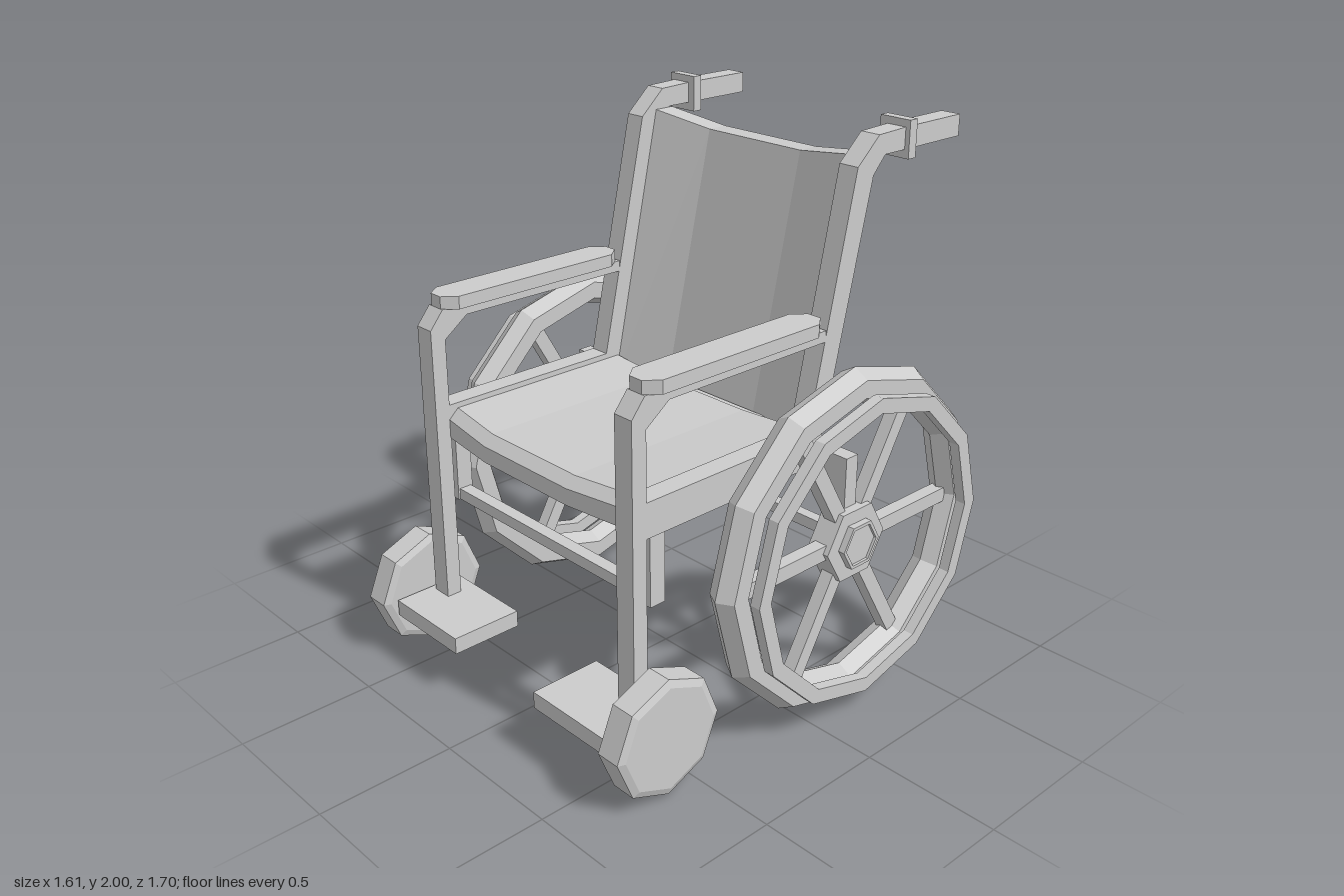
import * as THREE from 'three';

const mat = new THREE.MeshStandardMaterial({ color: 0xcccccc, flatShading: true });

function add(parent, name, geo) {
  const m = new THREE.Mesh(geo, mat);
  m.name = name;
  parent.add(m);
  return m;
}

// Box given by its limits on each axis
function box(parent, name, [x0, x1], [y0, y1], [z0, z1]) {
  const m = add(parent, name, new THREE.BoxGeometry(Math.abs(x1 - x0), y1 - y0, z1 - z0));
  m.position.set((x0 + x1) / 2, (y0 + y1) / 2, (z0 + z1) / 2);
  return m;
}

const shapeOf = (pts) => new THREE.Shape(pts.map(([u, v]) => new THREE.Vector2(u, v)));

// Outline in (z, y), given a width along x and centred on x
function sidePlate(parent, name, pts, x, width) {
  const geo = new THREE.ExtrudeGeometry(shapeOf(pts), { depth: width, bevelEnabled: false });
  geo.rotateY(-Math.PI / 2).translate(x + width / 2, 0, 0);
  return add(parent, name, geo);
}

const lathe = (pts, sides) =>
  new THREE.LatheGeometry(pts.map(([r, y]) => new THREE.Vector2(r, y)), sides);

// Solid skinned over (z, y) sections placed at increasing x
function loft(parent, name, xs, sectionAt) {
  const pos = [], idx = [];
  const rings = xs.map((x, i) => sectionAt(i).map(([z, y]) => [x, y, z]));
  const n = rings[0].length, last = (rings.length - 1) * n;
  rings.forEach((r) => r.forEach((p) => pos.push(...p)));
  for (let i = 0; i < rings.length - 1; i++) {
    for (let j = 0; j < n; j++) {
      const a = i * n + j, b = i * n + (j + 1) % n;
      idx.push(a, b, a + n, b, b + n, a + n);
    }
  }
  for (let j = 1; j < n - 1; j++) {
    idx.push(0, j + 1, j, last, last + j, last + j + 1);
  }
  const geo = new THREE.BufferGeometry();
  geo.setAttribute('position', new THREE.Float32BufferAttribute(pos, 3));
  geo.setIndex(idx);
  geo.computeVertexNormals();
  return add(parent, name, geo);
}

// Drive wheel: local y is the axle, pointing outward
function driveWheel() {
  const g = new THREE.Group();
  const tyre = [];
  for (let i = 0; i <= 6; i++) {
    const a = (i * Math.PI) / 3;
    tyre.push([0.566 + 0.064 * Math.cos(a), 0.064 * Math.sin(a)]);
  }
  add(g, 'tyre', lathe(tyre, 12));
  add(g, 'handRim', lathe([[0.557, 0.085], [0.557, 0.125], [0.503, 0.125], [0.503, 0.085], [0.557, 0.085]], 12));
  add(g, 'hub', new THREE.CylinderGeometry(0.145, 0.145, 0.09, 6));
  add(g, 'hubCap', lathe([[0.09, 0.03], [0.09, 0.07], [0.077, 0.07], [0.077, 0.06], [0, 0.06]], 6));
  for (let i = 0; i < 6; i++) {
    const geo = new THREE.BoxGeometry(0.055, 0.05, 0.42);
    geo.translate(0, 0, 0.315).rotateY((i * Math.PI) / 3);
    add(g, 'spoke', geo);
  }
  return g;
}

function casterWheel() {
  const g = new THREE.Group();
  add(g, 'casterTyre', lathe([[0, -0.055], [0.19, -0.055], [0.217, -0.045], [0.217, 0.045], [0.19, 0.055], [0, 0.055]], 8));
  return g;
}

function buildSide(s) {
  const g = new THREE.Group();
  g.name = s > 0 ? 'leftSide' : 'rightSide';
  const X = (a, b) => [s * a, s * b];

  // Front leg bending into the arm support
  sidePlate(g, 'frontLegAndArmTube', [
    [0.595, 0.22], [0.653, 0.22], [0.653, 1.29], [0.6, 1.355],
    [-0.205, 1.355], [-0.205, 1.315], [0.5, 1.315], [0.595, 1.245],
  ], s * 0.513, 0.078);

  // Back post bending into the push handle
  sidePlate(g, 'backPostAndHandle', [
    [-0.12, 0.945], [-0.325, 1.88], [-0.425, 1.97], [-0.57, 1.975], [-0.85, 1.975],
    [-0.85, 1.9], [-0.46, 1.9], [-0.405, 1.84], [-0.2, 0.945],
  ], s * 0.513, 0.078);
  box(g, 'handleCollar', X(0.445, 0.57), [1.87, 2.0], [-0.595, -0.558]);

  // Armrest pad with clipped corners
  const c = 0.04, d = 0.05;
  const pad = new THREE.ExtrudeGeometry(shapeOf([
    [-0.067 + c, -0.6], [0.067 - c, -0.6], [0.067, -0.6 + d], [0.067, 0.19 - d],
    [0.067 - c, 0.19], [-0.067 + c, 0.19], [-0.067, 0.19 - d], [-0.067, -0.6 + d],
  ]), { depth: 0.047, bevelEnabled: false });
  pad.rotateX(-Math.PI / 2).translate(s * 0.511, 1.353, 0);
  add(g, 'armrest', pad);

  // Seat rail, under-seat strut, axle post and footplate
  box(g, 'seatRail', X(0.474, 0.552), [0.875, 1.0], [-0.15, 0.6]);
  box(g, 'underSeatStrut', X(0.48, 0.545), [0.62, 0.88], [0.513, 0.575]);
  box(g, 'axlePost', X(0.63, 0.69), [0.6, 0.945], [-0.235, -0.177]);
  box(g, 'footplate', X(0.22, 0.577), [0.188, 0.25], [0.53, 0.803]);

  const wheel = driveWheel();
  wheel.name = 'driveWheel';
  wheel.position.set(s * 0.68, 0.635, -0.206);
  const caster = casterWheel();
  caster.name = 'casterWheel';
  caster.position.set(s * 0.647, 0.235, 0.633);
  for (const w of [wheel, caster]) {
    w.rotation.z = (-s * Math.PI) / 2;
    g.add(w);
  }
  return g;
}

export function createModel() {
  const model = new THREE.Group();
  model.name = 'wheelchair';
  model.add(buildSide(1), buildSide(-1));

  // Sagging fabric seat and backrest
  const xs = [-0.475, -0.245, 0.195, 0.475];
  const mid = (i) => (i === 1 || i === 2 ? 1 : 0);
  loft(model, 'seat', xs, (i) => {
    const m = mid(i), y = -0.018 * m, z = 0.022 * m;
    return [[-0.19, 0.98 + y], [0.56 + z, 0.98 + y], [0.598 + z, 0.945 + y], [0.598 + z, 0.875 + y / 2], [-0.19, 0.875 + y / 2]];
  });
  loft(model, 'backrest', xs, (i) => {
    const m = mid(i), z = -0.052 * m, t = 1.897 - 0.043 * m, k = 0.01 * m;
    return [[-0.474 + z, t], [-0.393 + z, t], [-0.175 + z, 0.875 - k], [-0.255 + z, 0.875 - k]];
  });

  // Cross members
  box(model, 'rearCrossbar', [-0.66, 0.66], [0.822, 0.945], [-0.235, -0.177]);
  box(model, 'rearAxle', [-0.66, 0.66], [0.62, 0.662], [-0.227, -0.185]);
  box(model, 'frontCrossbar', [-0.5, 0.5], [0.62, 0.662], [0.52, 0.568]);
  return model;
}
